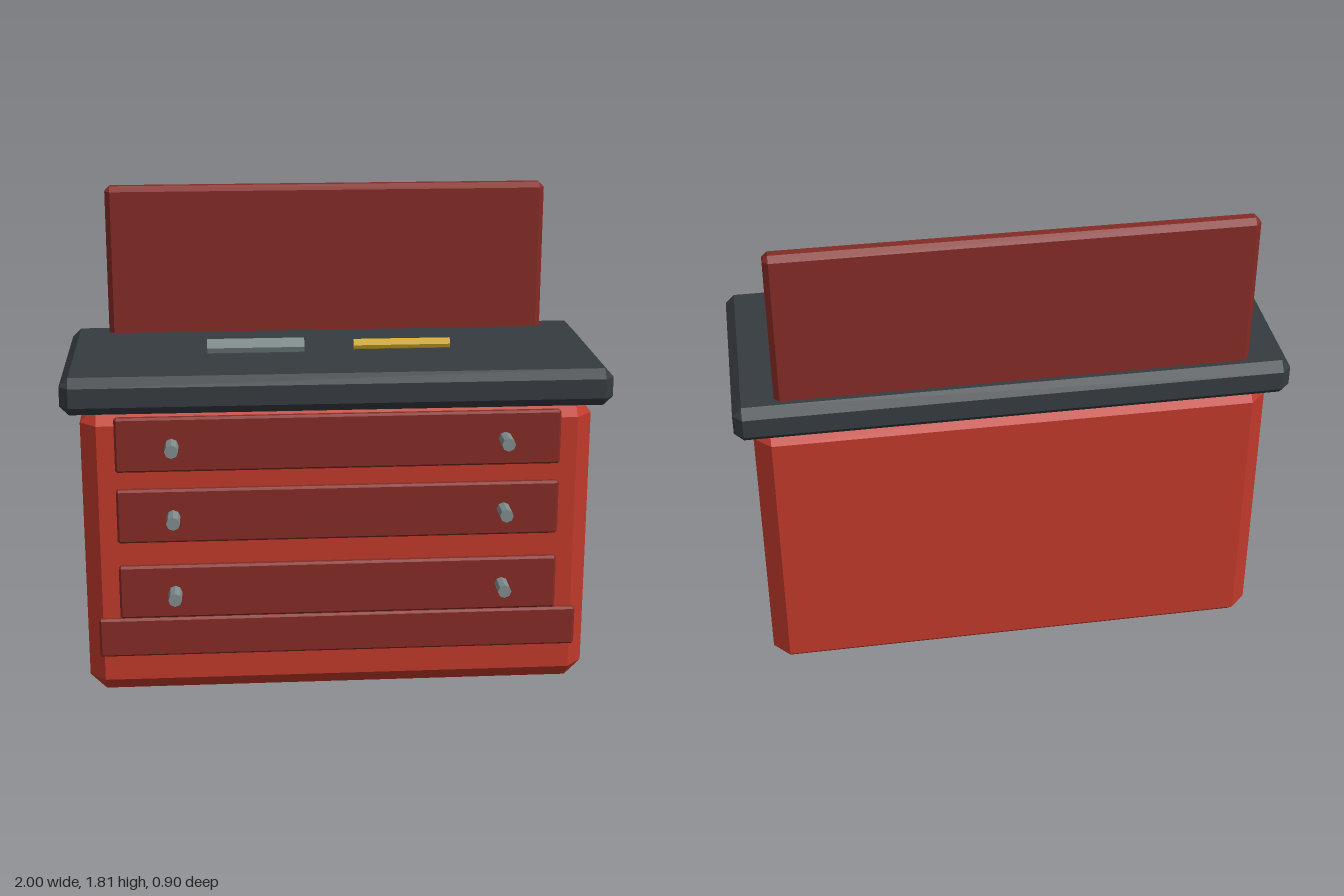
import * as THREE from 'three';
import { ConvexGeometry } from 'three/addons/geometries/ConvexGeometry.js';

const paint = (color) => new THREE.MeshStandardMaterial({ color, flatShading: true });

// Box with single-step chamfers on every edge, given by its min and max corners
function chamferBox(min, max, c) {
  const half = min.map((v, i) => (max[i] - v) / 2);
  const points = [];
  for (const sx of [-1, 1]) for (const sy of [-1, 1]) for (const sz of [-1, 1]) {
    for (let axis = 0; axis < 3; axis++) {
      const h = half.map((v, i) => (i === axis ? v : v - c));
      points.push(new THREE.Vector3(sx * h[0], sy * h[1], sz * h[2]));
    }
  }
  const center = min.map((v, i) => (v + max[i]) / 2);
  return new ConvexGeometry(points).translate(...center);
}

export function createModel() {
  const group = new THREE.Group();
  const red = paint(0xc0392b);
  const darkRed = paint(0x842b25);
  const slate = paint(0x353b40);
  const steel = paint(0x7f8c8d);
  const yellow = paint(0xd4ac2b);

  const add = (name, geometry, material) => {
    const mesh = new THREE.Mesh(geometry, material);
    mesh.name = name;
    group.add(mesh);
    return mesh;
  };

  // Cabinet, worktop and upright back panel
  add('cabinet', chamferBox([-0.935, 0, -0.407], [0.935, 1.11, 0.34], 0.06), red);
  add('worktop', chamferBox([-1, 1.095, -0.447], [1, 1.233, 0.374], 0.033), slate);
  add('backPanel', chamferBox([-0.852, 1.2, -0.395], [0.852, 1.806, -0.325], 0.02), darkRed);

  // Drawers, each with a pair of round pulls
  for (const [i, y] of [0.983, 0.712, 0.417].entries()) {
    add(`drawer${i + 1}`, chamferBox([-0.81, y - 0.102, 0.335], [0.81, y + 0.102, 0.367], 0.008), darkRed);
    for (const side of [-1, 1]) {
      const pull = add(side > 0 ? `leftPull${i + 1}` : `rightPull${i + 1}`,
        new THREE.CylinderGeometry(0.025, 0.025, 0.11, 8).rotateX(Math.PI / 2), steel);
      pull.position.set(side * 0.605, y, 0.395);
    }
  }

  // Kick board along the lower front
  add('kickBoard', chamferBox([-0.89, 0.16, 0.333], [0.89, 0.31, 0.36], 0.008), darkRed);

  // Two tools lying above the worktop
  for (const [name, x, r, material] of [['steelTool', -0.29, 0.029, steel], ['yellowTool', 0.255, 0.02, yellow]]) {
    const tool = add(name, new THREE.CylinderGeometry(r, r, 0.36, 8).rotateZ(Math.PI / 2), material);
    tool.position.set(x, 1.27, 0.066);
  }

  return group;
}
